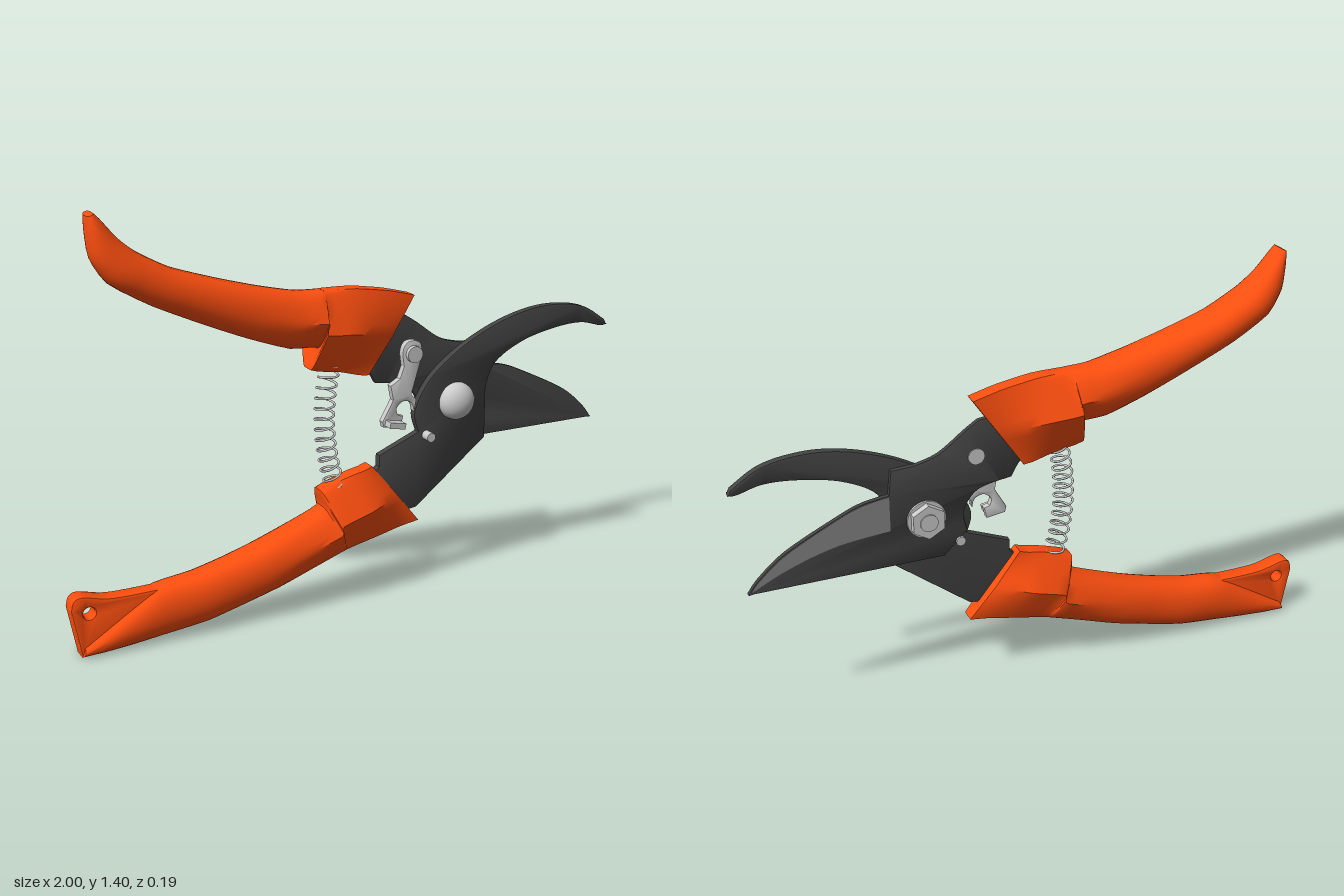
import * as THREE from 'three';
import { toCreasedNormals } from 'three/addons/utils/BufferGeometryUtils.js';

const paint = (color) => new THREE.MeshStandardMaterial({ color });
const orange = paint(0xff4f0f), dark = paint(0x444444), ground = paint(0x858585), steel = paint(0xcccccc);

function add(parent, name, geometry, material) {
  const mesh = new THREE.Mesh(geometry, material);
  mesh.name = name;
  parent.add(mesh);
  return mesh;
}

// Outline: [x, y] is a corner, a nested list is a smooth curve
function outline(parts) {
  const shape = new THREE.Shape();
  shape.moveTo(...parts[0]);
  for (const p of parts.slice(1)) {
    if (Array.isArray(p[0])) shape.splineThru(p.map(([x, y]) => new THREE.Vector2(x, y)));
    else shape.lineTo(...p);
  }
  shape.closePath();
  return shape;
}

// Flat plate between two depths with slightly broken edges
function plate(shape, z0, z1, bevel = 0.004) {
  const g = new THREE.ExtrudeGeometry(shape, {
    depth: z1 - z0 - 2 * bevel, curveSegments: 24, bevelEnabled: bevel > 0,
    bevelThickness: bevel, bevelSize: bevel, bevelOffset: -bevel, bevelSegments: 2,
  });
  g.translate(0, 0, z0 + bevel);
  return toCreasedNormals(g, 0.5);
}

// Grip lofted through stations [topX, topY, bottomX, bottomY, halfWidth, ridged]
function grip(stations) {
  const HALF = 14, SUB = 3, N = HALF * 2 + 2, rows = [], pos = [], index = [];
  stations.forEach((s, i) => {
    if (i === 0) return rows.push(s);
    for (let k = 1; k <= SUB; k++) {
      const f = k / SUB, p = stations[i - 1];
      const before = stations[Math.max(i - 2, 0)], after = stations[Math.min(i + 1, stations.length - 1)];
      // Gentle curve between the stations
      rows.push(s.map((v, c) => {
        const a = (v - before[c]) * 0.3, b = (after[c] - p[c]) * 0.3, f2 = f * f, f3 = f2 * f;
        return p[c] * (2 * f3 - 3 * f2 + 1) + a * (f3 - 2 * f2 + f) + v * (3 * f2 - 2 * f3) + b * (f3 - f2);
      }));
    }
  });
  for (const [tx, ty, bx, by, w, ridged] of rows) {
    for (let j = 0; j < N; j++) {
      const side = j <= HALF ? 1 : -1;
      const t = Math.PI * (side > 0 ? j : N - 1 - j) / HALF;
      const u = (1 - Math.cos(t)) / 2;
      const round = w * Math.pow(Math.max(Math.sin(t), 0), 0.75);
      const kite = 0.026 + (w - 0.026) * (1 - Math.abs(2 * u - 1));
      pos.push(tx + (bx - tx) * u, ty + (by - ty) * u, side * (round + (kite - round) * ridged));
    }
  }
  for (let i = 0; i < rows.length - 1; i++) {
    for (let j = 0; j < N; j++) {
      const a = i * N + j, b = i * N + (j + 1) % N;
      index.push(a, b, a + N, b, b + N, a + N);
    }
  }
  // End caps
  for (const i of [0, rows.length - 1]) {
    const [tx, ty, bx, by] = rows[i], c = pos.length / 3;
    pos.push((tx + bx) / 2, (ty + by) / 2, 0);
    for (let j = 0; j < N; j++) {
      const a = i * N + j, b = i * N + (j + 1) % N;
      index.push(c, ...(i === 0 ? [b, a] : [a, b]));
    }
  }
  const g = new THREE.BufferGeometry();
  g.setAttribute('position', new THREE.Float32BufferAttribute(pos, 3));
  g.setIndex(index);
  return toCreasedNormals(g, 0.6);
}

// Round or many-sided pin along z
function pin(x, y, z0, z1, r, sides = 24) {
  const g = new THREE.CylinderGeometry(r, r, z1 - z0, sides);
  g.rotateX(Math.PI / 2);
  g.translate(x, y, (z0 + z1) / 2);
  return g;
}

export function createModel() {
  const model = new THREE.Group();
  model.name = 'pruningShears';

  // Upper grip
  add(model, 'upperGrip', grip([
    [-0.86, 1.4, -0.88, 1.39, 0.035, 0], [-0.84, 1.38, -0.88, 1.34, 0.045, 0],
    [-0.79, 1.32, -0.87, 1.26, 0.06, 0], [-0.73, 1.27, -0.82, 1.18, 0.075, 0],
    [-0.62, 1.21, -0.69, 1.1, 0.08, 0], [-0.47, 1.16, -0.52, 1.02, 0.08, 0],
    [-0.33, 1.12, -0.38, 0.96, 0.08, 0], [-0.2, 1.09, -0.24, 0.91, 0.085, 0.3],
    [-0.12, 1.085, -0.14, 0.9, 0.09, 0.6], [-0.11, 1.085, -0.165, 0.83, 0.095, 0.8],
    [0, 1.08, -0.06, 0.81, 0.085, 1], [0.12, 1.06, 0.01, 0.79, 0.055, 1],
    [0.215, 1.035, 0.045, 0.785, 0.035, 1],
  ]), orange);

  // Lower grip with a thin hanging eyelet at its tail
  add(model, 'lowerGrip', grip([
    [-0.96, 0.04, -0.97, 0.005, 0.045, 0], [-0.88, 0.09, -0.89, 0.005, 0.055, 0],
    [-0.8, 0.14, -0.8, 0.01, 0.06, 0], [-0.71, 0.19, -0.69, 0.02, 0.065, 0],
    [-0.58, 0.205, -0.55, 0.035, 0.07, 0], [-0.47, 0.23, -0.42, 0.065, 0.07, 0],
    [-0.36, 0.26, -0.29, 0.1, 0.075, 0], [-0.23, 0.305, -0.17, 0.14, 0.08, 0.3],
    [-0.12, 0.35, -0.05, 0.18, 0.09, 0.6], [-0.13, 0.41, -0.03, 0.185, 0.09, 0.8],
    [-0.02, 0.445, 0.08, 0.21, 0.085, 1], [0.03, 0.455, 0.17, 0.23, 0.06, 1],
    [0.06, 0.465, 0.24, 0.24, 0.035, 1],
  ]), orange);
  const eyelet = outline([[-0.97, 0.005], [-0.68, 0.06], [-0.68, 0.185],
    [[-0.8, 0.185], [-0.88, 0.19], [-0.96, 0.21], [-0.99, 0.2], [-1, 0.17]]]);
  eyelet.holes.push(new THREE.Path().absarc(-0.94, 0.15, 0.02, 0, Math.PI * 2, true));
  add(model, 'hangingEyelet', plate(eyelet, -0.03, 0.03, 0.008), orange);

  // Hooked counter jaw, running down into the lower grip
  add(model, 'hookJaw', plate(outline([[0.23, 0.29], [0.08, 0.27], [0, 0.4], [0.085, 0.46], [0.085, 0.5], [0.235, 0.56],
    [[0.22, 0.635], [0.275, 0.735], [0.37, 0.815], [0.49, 0.88], [0.625, 0.925], [0.755, 0.94], [0.89, 0.92], [0.99, 0.86]],
    [1, 0.84],
    [[0.97, 0.84], [0.89, 0.86], [0.785, 0.855], [0.65, 0.825], [0.54, 0.765], [0.5, 0.685]],
    [0.5, 0.5]]), 0, 0.028), dark);

  // Cutting blade, running up into the upper grip
  add(model, 'cuttingBlade', plate(outline([[0.97, 0.495], [0.32, 0.5], [0.24, 0.58],
    [[0.25, 0.65], [0.2, 0.72], [0.085, 0.745]], [0.06, 0.79], [-0.02, 0.86], [0.08, 0.98], [0.195, 0.965],
    [[0.24, 0.935], [0.33, 0.87], [0.41, 0.845]], [0.49, 0.84], [0.5, 0.755],
    [[0.59, 0.74], [0.675, 0.705], [0.84, 0.62], [0.93, 0.545], [0.97, 0.495]]]), -0.018, 0, 0.003), dark);
  add(model, 'groundEdge', plate(outline([[0.96, 0.502], [[0.84, 0.56], [0.68, 0.61], [0.5, 0.63]], [0.5, 0.752],
    [[0.59, 0.736], [0.675, 0.702], [0.84, 0.615], [0.93, 0.54], [0.96, 0.502]]]), -0.02, -0.01, 0), ground);

  // Pivot: domed head in front, washer and hex nut behind
  const pivot = new THREE.Group();
  pivot.name = 'pivotBolt';
  model.add(pivot);
  const dome = new THREE.SphereGeometry(0.065, 32, 12, 0, Math.PI * 2, 0, Math.PI / 2);
  dome.scale(1, 0.75, 1);
  dome.rotateX(Math.PI / 2);
  dome.translate(0.38, 0.65, 0.033);
  add(pivot, 'boltHead', dome, steel);
  add(pivot, 'boltCollar', pin(0.38, 0.65, 0.02, 0.033, 0.065, 32), steel);
  add(pivot, 'washer', pin(0.38, 0.65, -0.026, -0.01, 0.065, 32), steel);
  add(pivot, 'nut', toCreasedNormals(pin(0.38, 0.65, -0.05, -0.02, 0.06, 6), 0.5), steel);
  add(pivot, 'boltEnd', pin(0.38, 0.65, -0.055, -0.04, 0.03), steel);

  // Locking latch with its rivet, thumb tab and stop pin
  add(model, 'latch', plate(outline([[0.17, 0.8], [[0.165, 0.85], [0.18, 0.88], [0.21, 0.885], [0.235, 0.87], [0.24, 0.83]],
    [0.2, 0.7], [0.22, 0.68], [0.21, 0.64], [[0.2, 0.67], [0.17, 0.68], [0.145, 0.66], [0.15, 0.635]],
    [0.17, 0.63], [0.16, 0.59], [0.095, 0.6], [0.09, 0.62], [0.13, 0.69], [0.12, 0.74], [0.155, 0.76]]), 0.015, 0.04), steel);
  const tab = new THREE.BoxGeometry(0.06, 0.02, 0.045);
  tab.rotateZ(-0.2);
  tab.translate(0.13, 0.61, 0.052);
  add(model, 'latchTab', tab, steel);
  add(model, 'latchRivet', pin(0.205, 0.84, -0.022, 0.055, 0.028), steel);
  add(model, 'stopPin', pin(0.265, 0.545, -0.025, 0.065, 0.016), steel);

  // Coil spring, slightly bowed between the grips
  const bow = new THREE.QuadraticBezierCurve3(new THREE.Vector3(-0.08, 0.84, 0),
    new THREE.Vector3(-0.14, 0.62, 0), new THREE.Vector3(-0.06, 0.39, 0));
  const coil = [], turns = 13, steps = turns * 16;
  for (let i = 0; i <= steps; i++) {
    const f = i / steps, a = f * turns * Math.PI * 2;
    const p = bow.getPoint(f), t = bow.getTangent(f);
    coil.push(new THREE.Vector3(p.x - t.y * Math.cos(a) * 0.032, p.y + t.x * Math.cos(a) * 0.032, Math.sin(a) * 0.032));
  }
  add(model, 'spring', new THREE.TubeGeometry(new THREE.CatmullRomCurve3(coil), steps * 2, 0.004, 6), steel);

  return model;
}
